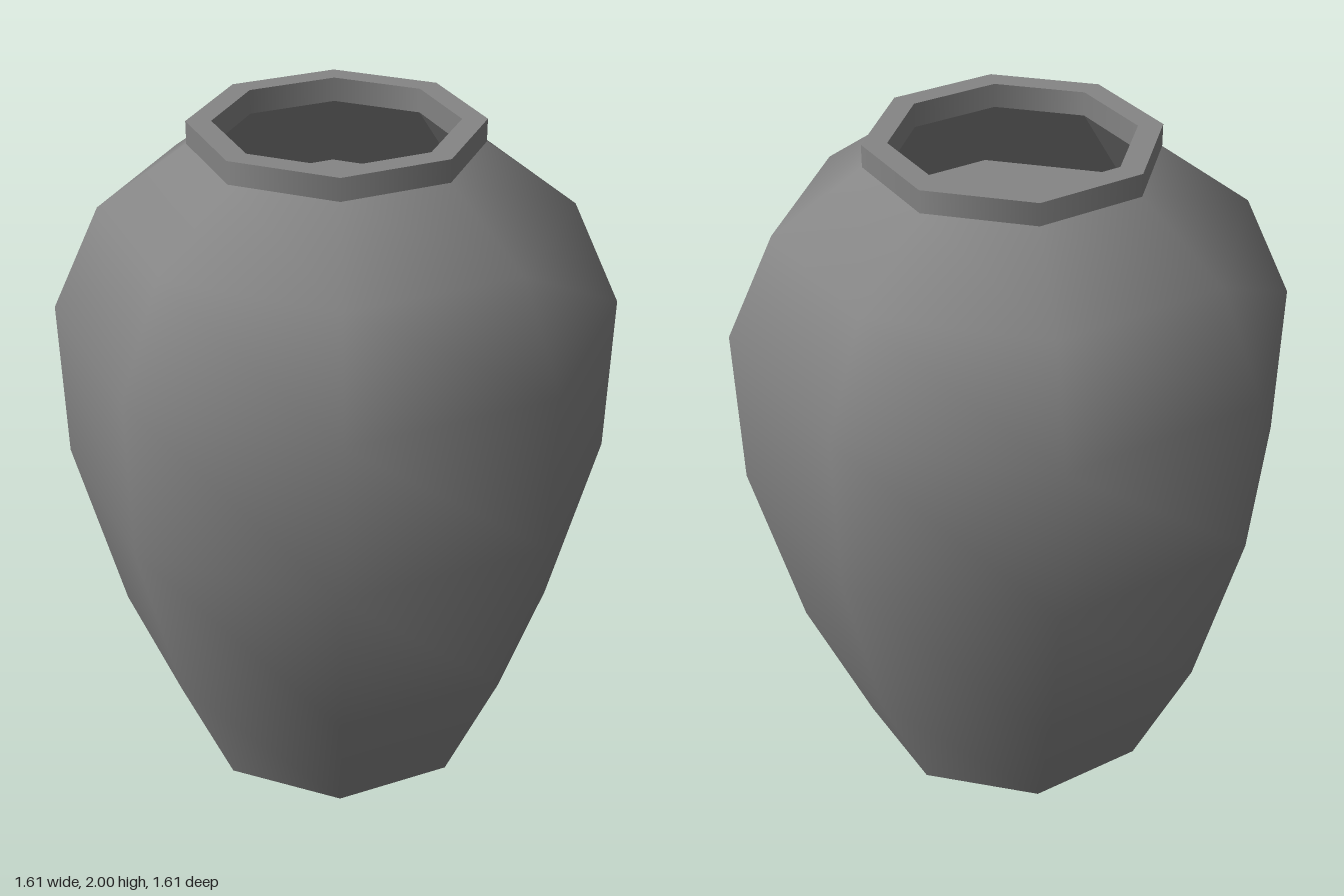
import * as THREE from 'three';

const SIDES = 8;
const GREY = 0x868686;

// Eight-sided turned part from [radius, height] pairs
function turned(name, profile, flatShading = false) {
  const points = profile.map(([r, y]) => new THREE.Vector2(r, y));
  const material = new THREE.MeshStandardMaterial({ color: GREY, flatShading });
  const mesh = new THREE.Mesh(new THREE.LatheGeometry(points, SIDES), material);
  mesh.name = name;
  return mesh;
}

export function createModel() {
  const vase = new THREE.Group();
  vase.name = 'vase';

  // Smooth outer wall, from foot to shoulder
  vase.add(turned('body', [
    [0.465, 0], [0.655, 0.43], [0.795, 0.97], [0.805, 1.445], [0.665, 1.75], [0.41, 1.935],
  ]));

  // Flat underside
  vase.add(turned('base', [[0, 0], [0.465, 0]]));

  // Neck collar: smooth outside, flat lip, smooth inside
  vase.add(turned('neckOuter', [[0.41, 1.935], [0.41, 2]]));
  vase.add(turned('lip', [[0.41, 2], [0.34, 2]]));
  vase.add(turned('neckInner', [[0.34, 2], [0.34, 1.93]]));

  // Faceted inside of the shoulder, flaring out below the neck
  vase.add(turned('innerShoulder', [[0.34, 1.93], [0.54, 1.67]], true));

  // Level surface closing the inside
  vase.add(turned('innerFloor', [[0.54, 1.67], [0, 1.67]]));

  return vase;
}
